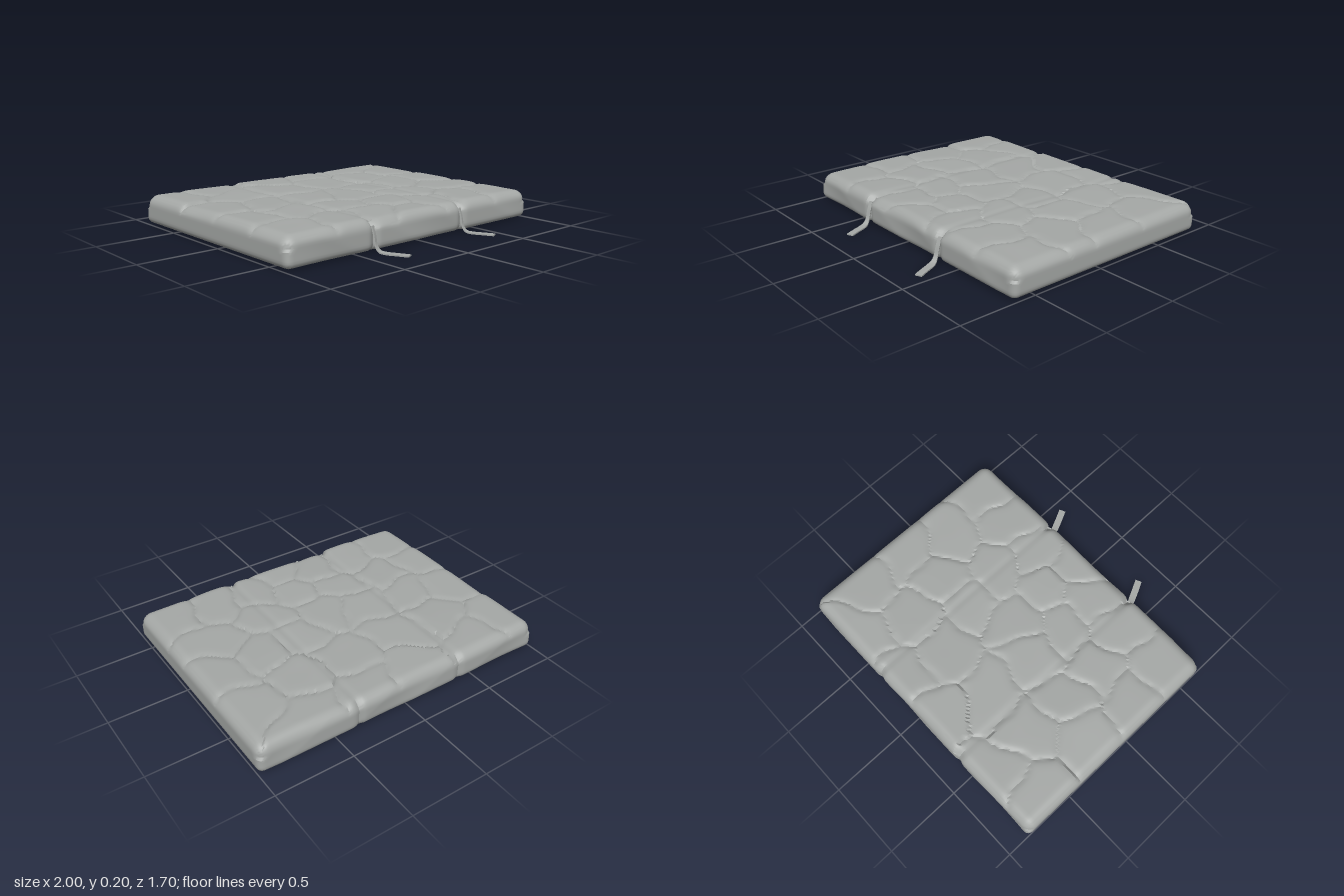
import * as THREE from 'three';
import { mergeVertices, toCreasedNormals } from 'three/addons/utils/BufferGeometryUtils.js';

const HALF = new THREE.Vector3(1, 0.094, 0.7525);
const CENTRE = new THREE.Vector3(0, 0.102, -0.0975);
const SEAMS = [-0.385, 0.345];
const gauss = (d, w) => Math.exp(-(d * d) / (w * w));

// Middles of the padded lumps on the top, as x, z
const LUMPS = [
  [-0.87, -0.62], [-0.55, -0.44], [-0.24, -0.45], [0.17, -0.45], [0.5, -0.45], [0.85, -0.52],
  [-0.62, -0.74], [-0.1, -0.76], [0.18, -0.74], [0.62, -0.75],
  [-0.84, -0.18], [-0.58, -0.12], [-0.25, -0.08], [0.03, 0.02], [0.28, -0.12], [0.55, -0.14], [0.84, -0.2],
  [-0.86, 0.16], [-0.56, 0.16], [-0.24, 0.2], [0.36, 0.14], [0.74, 0.12],
  [-0.8, 0.46], [-0.5, 0.42], [-0.2, 0.42], [0.03, 0.3], [0.27, 0.43], [0.55, 0.44], [0.84, 0.45],
  [0.02, 0.56],
];

function random(seed) {
  const s = Math.sin(seed * 91.7 + 3.1) * 4375.85;
  return s - Math.floor(s);
}

// How far the top sinks at x, z: creases between tilted lumps
function dent(x0, z0) {
  const x = x0 + 0.022 * Math.sin(11 * z0 + 1) + 0.01 * Math.sin(27 * z0);
  const z = z0 + 0.022 * Math.sin(12 * x0) + 0.01 * Math.sin(25 * x0 + 2);
  let near = 9, next = 9, id = 0;
  LUMPS.forEach(([lx, lz], i) => {
    const d = Math.hypot(x - lx, z - lz);
    if (d < near) { next = near; near = d; id = i; } else if (d < next) next = d;
  });
  const tilt = (random(id + 1) - 0.5) * (x - LUMPS[id][0]) + (random(id + 40) - 0.5) * (z - LUMPS[id][1]);
  return 0.013 * Math.exp(-(next - near) / 0.03) + 0.006 * random(id + 80) + 0.06 * tilt;
}

// Rounded slab with softer top edges, seam valleys and creases
function padGeometry() {
  let g = new THREE.BoxGeometry(HALF.x * 2, HALF.y * 2, HALF.z * 2, 120, 12, 92);
  g.deleteAttribute('normal');
  g.deleteAttribute('uv');
  g = mergeVertices(g);
  const p = g.attributes.position;
  const v = new THREE.Vector3(), inner = new THREE.Vector3();
  for (let i = 0; i < p.count; i++) {
    v.fromBufferAttribute(p, i);
    const r = v.y > 0 ? 0.07 : 0.04;
    inner.copy(HALF).subScalar(r);
    const core = v.clone().clamp(inner.clone().negate(), inner);
    v.sub(core);
    if (v.lengthSq() > 0) v.setLength(r);
    v.add(core).add(CENTRE);

    const top = THREE.MathUtils.smoothstep(v.y, 0.12, 0.185);
    const front = gauss(v.z - 0.655, 0.07);
    const back = gauss(v.z + 0.85, 0.05);
    let sink = top * Math.max(0, dent(v.x, v.z));
    for (const s of SEAMS) {
      const near = gauss(v.x - s, 0.022);
      sink += top * near * (0.006 + 0.022 * front + 0.012 * back);
      v.z += near * (0.012 * back - 0.022 * front);
    }
    // Soft, uneven front and back walls
    const wall = Math.max(0, Math.sin(7 * v.x + 14 * v.y)) * 0.006;
    v.z += wall * (back - front);
    v.y -= sink;
    p.setXYZ(i, v.x, v.y, v.z);
  }
  return toCreasedNormals(g, 0.5);
}

// Flat ribbon that hangs down the front and lies out along the floor
function strapGeometry() {
  const path = new THREE.CatmullRomCurve3([
    [0, 0.15, 0.63], [0, 0.1, 0.648], [0, 0.04, 0.664], [0.006, 0.012, 0.685],
    [0.02, 0.005, 0.715], [0.05, 0.005, 0.78], [0.082, 0.005, 0.845],
  ].map((a) => new THREE.Vector3(...a)));
  const g = new THREE.BoxGeometry(1, 0.008, 1, 1, 1, 24);
  const p = g.attributes.position;
  const side = new THREE.Vector3(0.91, 0, -0.41);
  for (let i = 0; i < p.count; i++) {
    const t = p.getZ(i) + 0.5;
    const up = path.getTangent(t).cross(side).normalize();
    const width = THREE.MathUtils.lerp(0.026, 0.044, THREE.MathUtils.smoothstep(t, 0.3, 0.7));
    const q = path.getPoint(t).addScaledVector(side, p.getX(i) * width).addScaledVector(up, p.getY(i));
    p.setXYZ(i, q.x, Math.max(0, q.y), q.z);
  }
  return toCreasedNormals(g, 0.6);
}

export function createModel() {
  const model = new THREE.Group();
  model.name = 'paddedMat';
  const grey = new THREE.MeshStandardMaterial({ color: 0xa5a8a6 });
  grey.name = 'grey fabric';

  const pad = new THREE.Mesh(padGeometry(), grey);
  pad.name = 'pad';
  model.add(pad);

  const ribbon = strapGeometry();
  SEAMS.forEach((x, i) => {
    const strap = new THREE.Mesh(ribbon, grey);
    strap.name = i ? 'leftStrap' : 'rightStrap';
    strap.position.x = x;
    model.add(strap);
  });
  return model;
}
